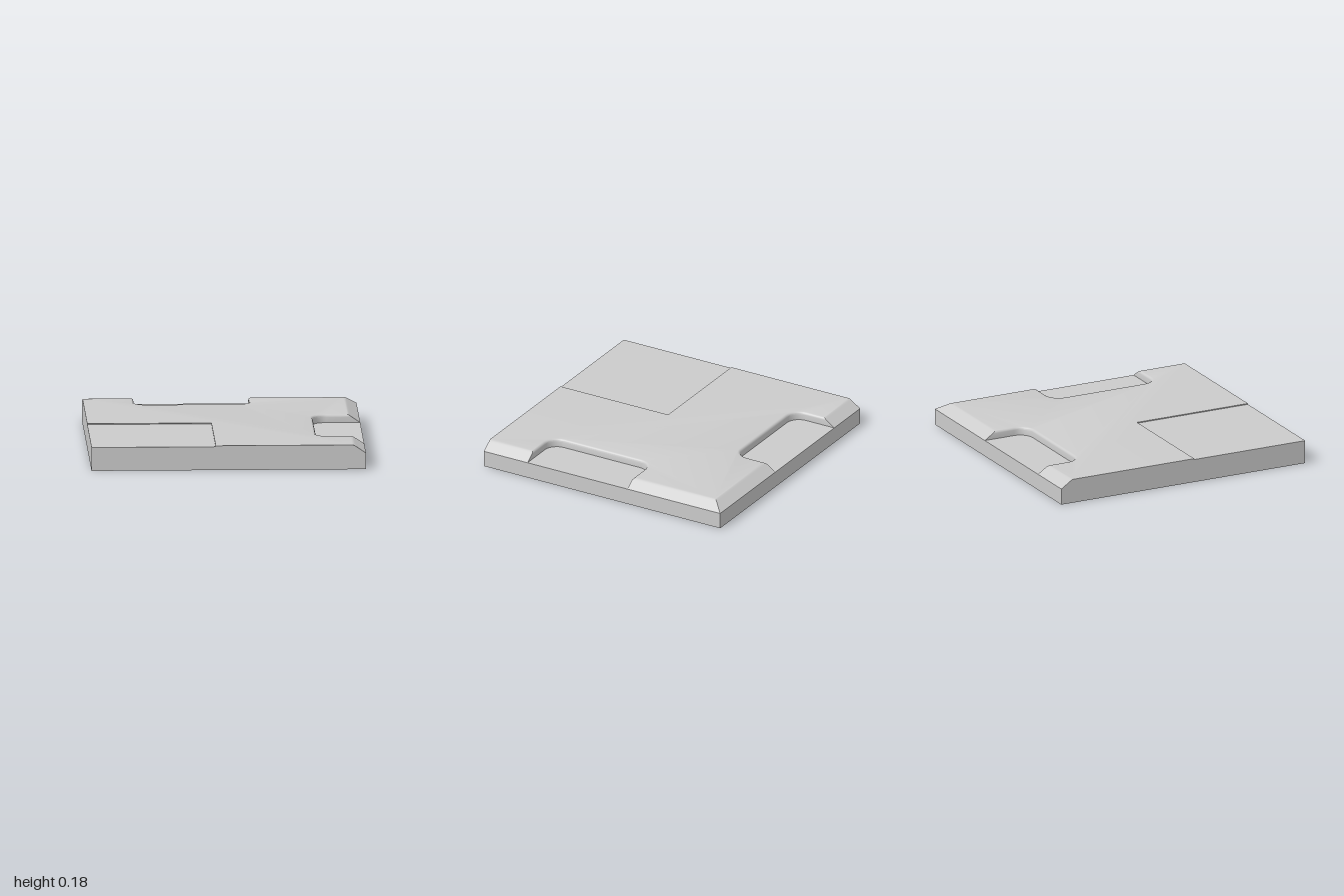
import * as THREE from 'three';
import { toCreasedNormals } from 'three/addons/utils/BufferGeometryUtils.js';

const LEDGE = 0.12, TOP = 0.18;
const PANEL = { x: -0.095, z: 0.09, top: 0.173 };

// Quarter-round corner, from angle a0 (degrees), turning clockwise
function corner(cx, cy, r, a0, n = 8) {
  return Array.from({ length: n + 1 }, (_, i) => {
    const a = THREE.MathUtils.degToRad(a0 - (90 * i) / n);
    return new THREE.Vector2(cx + r * Math.cos(a), cy + r * Math.sin(a));
  });
}

// Outline in (x, -z): L-shape round the panel, with two notches widened by d,
// held inside the limit set by the sloped edges
function outline(d, limit) {
  const v = (x, y) => new THREE.Vector2(x, y);
  const r = 0.1, R = r + d;
  const pts = [
    v(PANEL.x, -1), v(1, -1),
    // notch in the +x side
    v(1, -0.63 - d),
    ...corner(0.65 + r, -0.63 + r, R, 270),
    ...corner(0.65 + r, 0.215 - r, R, 180),
    v(1, 0.215 + d),
    v(1, 1),
    // notch in the back side
    v(0.21 + d, 1),
    ...corner(0.21 - r, 0.66 + r, R, 0),
    ...corner(-0.63 + r, 0.66 + r, R, 270),
    v(-0.63 - d, 1),
    v(-1, 1), v(-1, -PANEL.z), v(PANEL.x, -PANEL.z),
  ];
  return pts.map((p) => v(Math.min(p.x, limit), Math.min(p.y, limit)));
}

// Stacked outlines: [height, notch widening, sloped-edge limit]
function upperGeometry() {
  const levels = [
    [LEDGE, 0, 1], [0.162, 0, 0.937], [0.169, 0.002, 0.9265],
    [0.175, 0.007, 0.917], [0.1785, 0.013, 0.909], [TOP, 0.02, 0.898],
  ];
  const rings = levels.map(([, d, limit]) => outline(d, limit));
  const n = rings[0].length, pos = [], index = [];
  rings.forEach((ring, k) => ring.forEach((p) => pos.push(p.x, levels[k][0], -p.y)));
  for (let k = 0; k < rings.length - 1; k++) {
    for (let i = 0; i < n; i++) {
      const a = k * n + i, b = k * n + ((i + 1) % n);
      index.push(a, b, b + n, a, b + n, a + n);
    }
  }
  // flat top
  const last = (rings.length - 1) * n;
  THREE.ShapeUtils.triangulateShape(rings[rings.length - 1], [])
    .forEach((f) => index.push(...f.map((i) => i + last)));
  const geo = new THREE.BufferGeometry();
  geo.setAttribute('position', new THREE.Float32BufferAttribute(pos, 3));
  geo.setIndex(index);
  return toCreasedNormals(geo, 0.55);
}

export function createModel() {
  const group = new THREE.Group();
  group.name = 'floorTile';
  const material = new THREE.MeshStandardMaterial({ color: 0xcccccc });
  const add = (name, geo, x = 0, y = 0, z = 0) => {
    const mesh = new THREE.Mesh(geo, material);
    mesh.name = name;
    mesh.position.set(x, y, z);
    group.add(mesh);
  };

  // Square base, whose top is the floor of the notches
  add('baseSlab', new THREE.BoxGeometry(2, LEDGE, 2), 0, LEDGE / 2, 0);
  // Upper layer with sloped edges and notches
  add('upperSlab', upperGeometry());
  // Slightly sunken corner panel
  const w = PANEL.x + 1, l = 1 - PANEL.z, h = PANEL.top - LEDGE;
  add('cornerPanel', new THREE.BoxGeometry(w, h, l), -1 + w / 2, LEDGE + h / 2, 1 - l / 2);
  return group;
}
